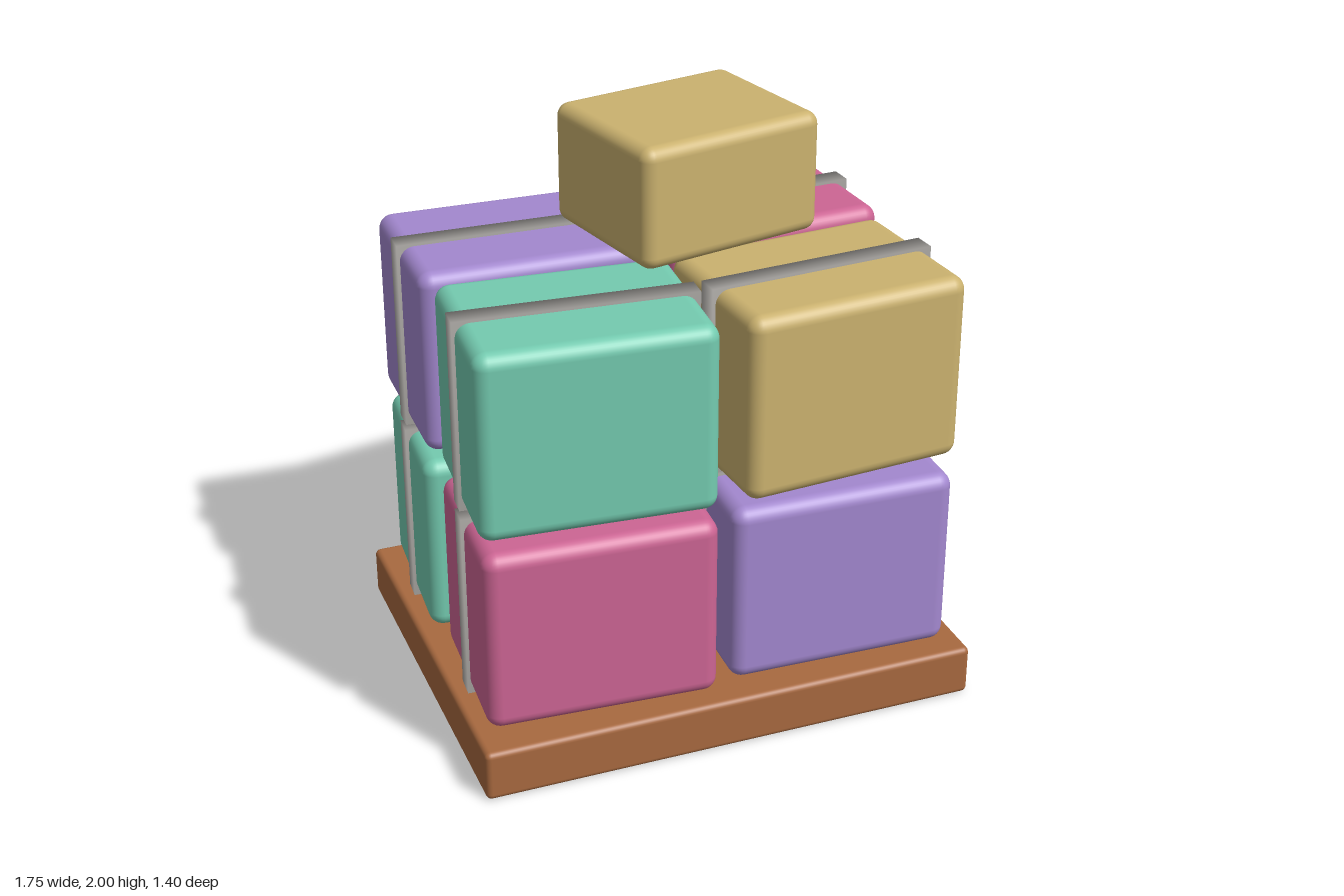
import * as THREE from 'three';
import { mergeVertices } from 'three/addons/utils/BufferGeometryUtils.js';
import { RoundedBoxGeometry } from 'three/addons/geometries/RoundedBoxGeometry.js';

const material = (name, color) => new THREE.MeshStandardMaterial({ name, color });

export function createModel() {
  const model = new THREE.Group();
  model.name = 'palletOfCrates';

  const wood = material('wood', 0xa8693f);
  const steel = material('strapGrey', 0xa8a5a1);
  const gold = material('gold', 0xcbb26f);
  const green = material('green', 0x74cbb0);
  const pink = material('pink', 0xcd6594);
  const purple = material('purple', 0xa388cf);

  const add = (parent, name, geometry, mat, x, y, z) => {
    const mesh = new THREE.Mesh(geometry, mat);
    mesh.name = name;
    mesh.position.set(x, y, z);
    parent.add(mesh);
    return mesh;
  };

  // Pallet board
  add(model, 'pallet', new RoundedBoxGeometry(1.75, 0.18, 1.4, 3, 0.02), wood, 0, 0.09, 0);

  // Shared crate and strap shapes; the strap has softly blended normals
  const crateShape = new RoundedBoxGeometry(0.79, 0.652, 0.6, 4, 0.05);
  let strapShape = new THREE.BoxGeometry(0.81, 0.668, 0.08);
  strapShape.deleteAttribute('normal');
  strapShape.deleteAttribute('uv');
  strapShape = mergeVertices(strapShape);
  strapShape.computeVertexNormals();

  // Two layers of four strapped crates: side, depth, turn and colour
  const layers = [
    { name: 'lower', y: 0.52, crates: [
      [-1, 1, -0.06, pink], [1, 1, -0.03, purple],
      [-1, -1, -0.07, green], [1, -1, -0.08, gold]] },
    { name: 'upper', y: 1.218, crates: [
      [-1, 1, -0.075, green], [1, 1, 0.08, gold],
      [-1, -1, -0.025, purple], [1, -1, 0.06, pink]] },
  ];
  for (const { name, y, crates } of layers) {
    for (const [side, depth, turn, mat] of crates) {
      const crate = new THREE.Group();
      crate.name = `${name}${depth > 0 ? 'Front' : 'Back'}${side > 0 ? 'Left' : 'Right'}Crate`;
      crate.position.set(side * 0.42, y, depth * 0.33);
      crate.rotation.y = turn;
      add(crate, 'crate', crateShape, mat, 0, 0, 0);
      add(crate, 'strap', strapShape, steel, 0, 0, 0);
      model.add(crate);
    }
  }

  // Loose crate on top
  const top = add(model, 'topCrate', new RoundedBoxGeometry(0.685, 0.415, 0.57, 4, 0.045), gold, 0.112, 1.7925, -0.06);
  top.rotation.y = 0.21;

  return model;
}
